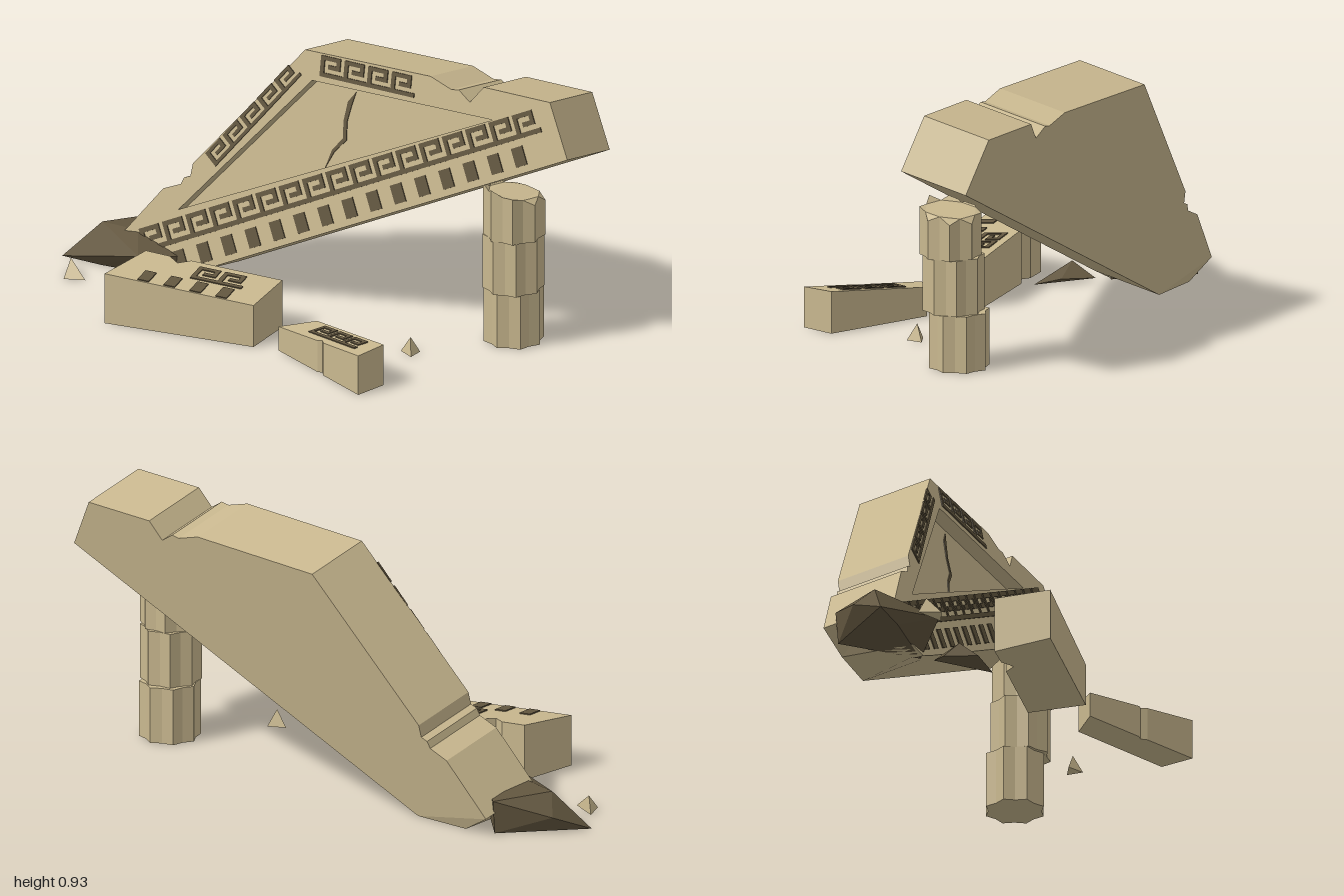
import * as THREE from 'three';
import { mergeGeometries } from 'three/addons/utils/BufferGeometryUtils.js';
import { ConvexGeometry } from 'three/addons/geometries/ConvexGeometry.js';

const stone = new THREE.MeshStandardMaterial({ color: 0xc9b88f });
stone.name = 'pale stone';
const dark = new THREE.MeshStandardMaterial({ color: 0x62563f });
dark.name = 'dark stone';

const V = (x, y, z = 0) => new THREE.Vector3(x, y, z);

export function createModel() {
  const model = new THREE.Group();

  function add(name, geometry, material, parent = model) {
    const mesh = new THREE.Mesh(geometry, material);
    mesh.name = name;
    parent.add(mesh);
    return mesh;
  }

  // Upright prism over an [x, z] outline, with a top that follows a height rule
  function prism(outline, y0, top) {
    const shape = new THREE.Shape(outline.map(([x, z]) => new THREE.Vector2(x, -z)));
    const g = new THREE.ExtrudeGeometry(shape, { depth: 1, bevelEnabled: false });
    g.rotateX(-Math.PI / 2);
    const p = g.attributes.position;
    for (let i = 0; i < p.count; i++) {
      p.setY(i, p.getY(i) > 0.5 ? top(p.getX(i), p.getZ(i)) : y0);
    }
    g.computeVertexNormals();
    return g;
  }

  // Thin painted plates from [x, y, width, height] rectangles on a plane
  function paint(name, rects, matrix) {
    const plates = rects.map(([x, y, w, h]) =>
      new THREE.BoxGeometry(w, h, 0.006).translate(x + w / 2, y + h / 2, 0.001));
    add(name, mergeGeometries(plates).applyMatrix4(matrix), dark);
  }

  // Running key pattern: a base line with one squared spiral per unit
  function keys(count, pitch, height) {
    const a = pitch / 6, b = height / 5, rects = [];
    for (let i = 0; i < count; i++) {
      for (const [x, y, w, h] of [[0, 0, 6, 1], [0, 1, 1, 4], [1, 4, 4, 1], [4, 2, 1, 2], [2, 2, 2, 1]]) {
        rects.push([i * pitch + x * a, y * b, w * a, h * b]);
      }
    }
    return rects;
  }

  // ---- Leaning pediment ----
  const lean = new THREE.Matrix4().makeRotationFromEuler(new THREE.Euler(-0.185, -0.02, 0)).setPosition(0, 0, -0.05);
  const UP = 0.983; // height lost to the lean
  const flat = (pts) => pts.map(([x, y]) => new THREE.Vector2(x, y / UP));
  const outline = flat([
    [-0.46, 0.052], [1.0, 0.745], [0.905, 0.928], [0.63, 0.925], [0.58, 0.862], [0.53, 0.895],
    [0.5, 0.89], [0.41, 0.918], [-0.11, 0.905], [-0.52, 0.42], [-0.525, 0.375], [-0.55, 0.365],
    [-0.56, 0.34], [-0.63, 0.31], [-0.78, 0.12], [-0.67, 0], [-0.57, 0],
  ]);
  function slab(name, z0, z1, hole) {
    const shape = new THREE.Shape(outline);
    if (hole) shape.holes.push(new THREE.Path(hole));
    const g = new THREE.ExtrudeGeometry(shape, { depth: z1 - z0, bevelEnabled: false });
    g.translate(0, 0, z0).applyMatrix4(lean);
    const p = g.attributes.position;
    for (let i = 0; i < p.count; i++) p.setY(i, Math.max(0, p.getY(i))); // rests on the ground
    g.computeVertexNormals();
    add(name, g, stone);
  }
  slab('pedimentBody', -0.27, -0.05);
  slab('pedimentFrame', -0.05, 0, flat([[-0.56, 0.25], [0.68, 0.82], [-0.07, 0.805]]));

  // Painted bands on the frame
  const onSlab = (x, y, angle) =>
    lean.clone().multiply(new THREE.Matrix4().makeRotationZ(angle).setPosition(x, y / UP, 0));
  const lower = onSlab(-0.57, 0, 0.452);
  paint('lowerKeyBand', keys(17, 0.102, 0.085).map(([x, y, w, h]) => [x - 0.06, y + 0.115, w, h]), lower);
  paint('dentils', Array.from({ length: 15 }, (_, i) => [1.531 - 0.106 * i, 0.022, 0.048, 0.068]), lower);
  paint('leftKeyBand', keys(5, 0.1, 0.06), onSlab(-0.425, 0.43, 0.9));
  paint('topKeyBand', keys(4, 0.098, 0.075), onSlab(-0.04, 0.827, 0.01));

  // Crack in the recessed panel
  const crack = new THREE.Shape(flat([
    [0.085, 0.79], [0.055, 0.75], [0.045, 0.68], [0.05, 0.62], [0.01, 0.57], [-0.012, 0.5],
    [0.02, 0.565], [0.065, 0.615], [0.06, 0.68], [0.072, 0.74],
  ]));
  add('panelCrack', new THREE.ExtrudeGeometry(crack, { depth: 0.004, bevelEnabled: false })
    .translate(0, 0, -0.051).applyMatrix4(lean), dark);

  // ---- Broken fluted column ----
  const column = new THREE.Group();
  column.name = 'column';
  model.add(column);
  const drums = [
    [0.733, -0.243, 0, () => 0.203],
    [0.742, -0.226, 0.203, () => 0.402],
    [0.75, -0.219, 0.402, (x, z) => 0.562 + 0.2 * (z + 0.22) - 0.15 * (x - 0.75) + 0.012 * Math.sin(90 * x + 50 * z)],
  ];
  drums.forEach(([cx, cz, y0, top], k) => {
    const ring = Array.from({ length: 16 }, (_, i) => {
      const a = (i + k * 0.35) * Math.PI / 8, r = i % 2 ? 0.093 : 0.108;
      return [cx + r * Math.cos(a), cz + r * Math.sin(a)];
    });
    add('columnDrum' + (k + 1), prism(ring, y0, top), stone, column);
  });

  // ---- Fallen blocks with painted tops ----
  function fallenBlock(name, pts, [a, b, c], bands) {
    const top = (x, z) => a + b * x + c * z;
    add(name, prism(pts, 0, top), stone);
    const normal = V(-b, 1, -c).normalize();
    for (const { label, at: [x, z], dir: [dx, dz], rects } of bands) {
      const along = V(dx, b * dx + c * dz, dz).normalize();
      const m = new THREE.Matrix4().makeBasis(along, normal.clone().cross(along), normal);
      paint(label, rects, m.setPosition(x, top(x, z), z));
    }
  }
  const dirA = [0.555, -0.09];
  fallenBlock('largeFallenBlock',
    [[-0.54, 0.4], [0.015, 0.31], [0, 0.1], [-0.34, 0.155], [-0.37, 0.195], [-0.42, 0.168], [-0.51, 0.18]],
    [0.1846, -0.069, -0.092], [
      { label: 'largeBlockKeys', at: [-0.275, 0.265], dir: dirA, rects: keys(2, 0.097, 0.088) },
      { label: 'largeBlockDentils', at: [-0.42, 0.375], dir: dirA,
        rects: [0, 1, 2, 3].map((i) => [i * 0.098, 0, 0.042, 0.07]) },
    ]);
  fallenBlock('smallFallenBlock',
    [[0.105, 0.29], [0.325, 0.385], [0.345, 0.382], [0.36, 0.402], [0.56, 0.49], [0.585, 0.365], [0.21, 0.205]],
    [0.08, 0.13, -0.014], [
      { label: 'smallBlockKeys', at: [0.245, 0.315], dir: [0.455, 0.2], rects: keys(3, 0.095, 0.07) },
    ]);

  // ---- Loose rubble ----
  const rubble = (name, material, pts) => add(name, new ConvexGeometry(pts.map((p) => V(...p))), material);
  rubble('brokenCorner', dark, [
    [-1, 0, -0.05], [-0.88, 0.13, -0.12], [-0.72, 0.14, -0.1], [-0.64, 0.1, 0.025], [-0.54, 0.09, -0.07],
    [-0.55, 0, -0.08], [-0.93, 0.06, -0.18], [-0.77, 0.12, -0.31], [-0.77, 0, -0.3], [-0.84, 0, -0.05],
  ]);
  rubble('darkShard', dark, [
    [-0.49, 0.015, -0.055], [-0.54, 0, 0.0], [-0.5, 0, 0.115], [-0.35, 0, 0.11], [-0.49, 0.065, 0.04], [-0.4, 0.02, 0.03],
  ]);
  rubble('leftChip', stone, [[-0.91, 0, 0.055], [-0.88, 0, 0.13], [-0.81, 0, 0.1], [-0.885, 0.06, 0.075]]);
  rubble('rightChip', stone, [[0.465, 0, 0.065], [0.525, 0, 0.035], [0.525, 0, 0.095], [0.505, 0.06, 0.065]]);

  return model;
}
